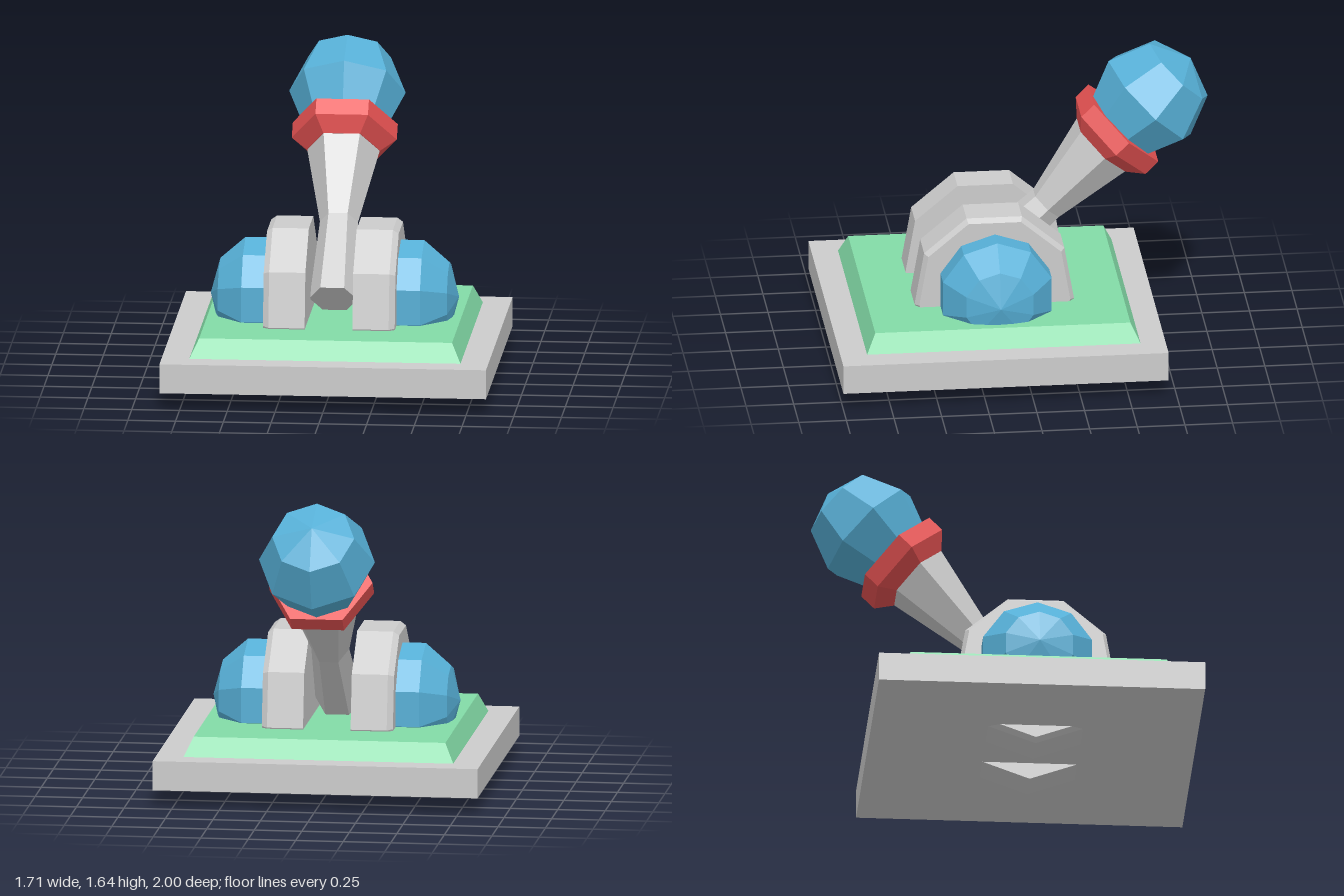
import * as THREE from 'three';

const material = (color) => new THREE.MeshStandardMaterial({ color, flatShading: true });
const grey = material(0xcccccc);
const blue = material(0x56afd6);
const red = material(0xe65252);
const green = material(0x82daa6);

function part(name, geometry, mat) {
  const mesh = new THREE.Mesh(geometry, mat);
  mesh.name = name;
  return mesh;
}

// Faceted turned solid from [radius, height] pairs, with a corner on the x axis
function turned(profile, sides) {
  const points = profile.map(([r, h]) => new THREE.Vector2(r, h));
  return new THREE.LatheGeometry(points, sides, Math.PI / 2);
}

// Box whose top face is drawn in by an inset on every side
function taperedBox(w, h, d, inset) {
  const geometry = new THREE.BoxGeometry(w, h, d);
  const p = geometry.attributes.position;
  for (let i = 0; i < p.count; i++) {
    if (p.getY(i) > 0) {
      p.setX(i, p.getX(i) - Math.sign(p.getX(i)) * inset);
      p.setZ(i, p.getZ(i) - Math.sign(p.getZ(i)) * inset);
    }
  }
  return geometry;
}

// Nine-sided cheek disc and its domed cap, built along +x
function createPivotSide(name) {
  const side = new THREE.Group();
  side.name = name;
  const disc = part('pivotDisc', turned(
    [[0, 0.125], [0.425, 0.125], [0.425, 0.315], [0.403, 0.345], [0, 0.345]], 9), grey);
  const cap = part('pivotCap', turned(
    [[0, 0.31], [0.3, 0.31], [0.3, 0.468], [0.185, 0.6], [0, 0.65]], 10), blue);
  disc.position.y = 0.43;
  cap.position.y = 0.445;
  disc.rotation.z = cap.rotation.z = -Math.PI / 2;
  side.add(disc, cap);
  side.position.set(-0.005, 0, 0.15);
  return side;
}

// Leaning lever: local y runs along the shaft
function createLever() {
  const lever = new THREE.Group();
  lever.name = 'lever';

  const neck = 0.65;
  const shaftGeometry = turned([[0, 0.163], [0.125, 0.163], [0.1, neck], [0.19, 1.08], [0, 1.08]], 6);
  const p = shaftGeometry.attributes.position;
  // The neck sags slightly below the straight line
  for (let i = 0; i < p.count; i++) {
    if (Math.abs(p.getY(i) - neck) < 0.01) p.setZ(i, p.getZ(i) - 0.02);
  }
  const collar = turned([[0, 1.079], [0.192, 1.079], [0.275, 1.15], [0.275, 1.245], [0, 1.245]], 6);
  const knob = part('knob', new THREE.SphereGeometry(0.305, 8, 4), blue);
  knob.position.y = 1.439;

  lever.add(part('shaft', shaftGeometry, grey), part('collar', collar, red), knob);
  lever.position.set(-0.009, 0.318, 0.318);
  lever.rotation.x = -Math.PI / 4;
  return lever;
}

export function createModel() {
  const model = new THREE.Group();
  model.name = 'leverSwitch';

  // Base slab and raised plate
  const base = part('base', new THREE.BoxGeometry(1.71, 0.155, 1.707), grey);
  base.position.set(0, 0.1725, 0.1465);
  const plate = part('plate', taperedBox(1.42, 0.1, 1.435, 0.048), green);
  plate.position.set(0, 0.3, 0.1425);

  // Pivot halves, one turned round to the other side
  const left = createPivotSide('leftPivot');
  const right = createPivotSide('rightPivot');
  right.rotation.y = Math.PI;

  model.add(base, plate, left, right, createLever());
  return model;
}
